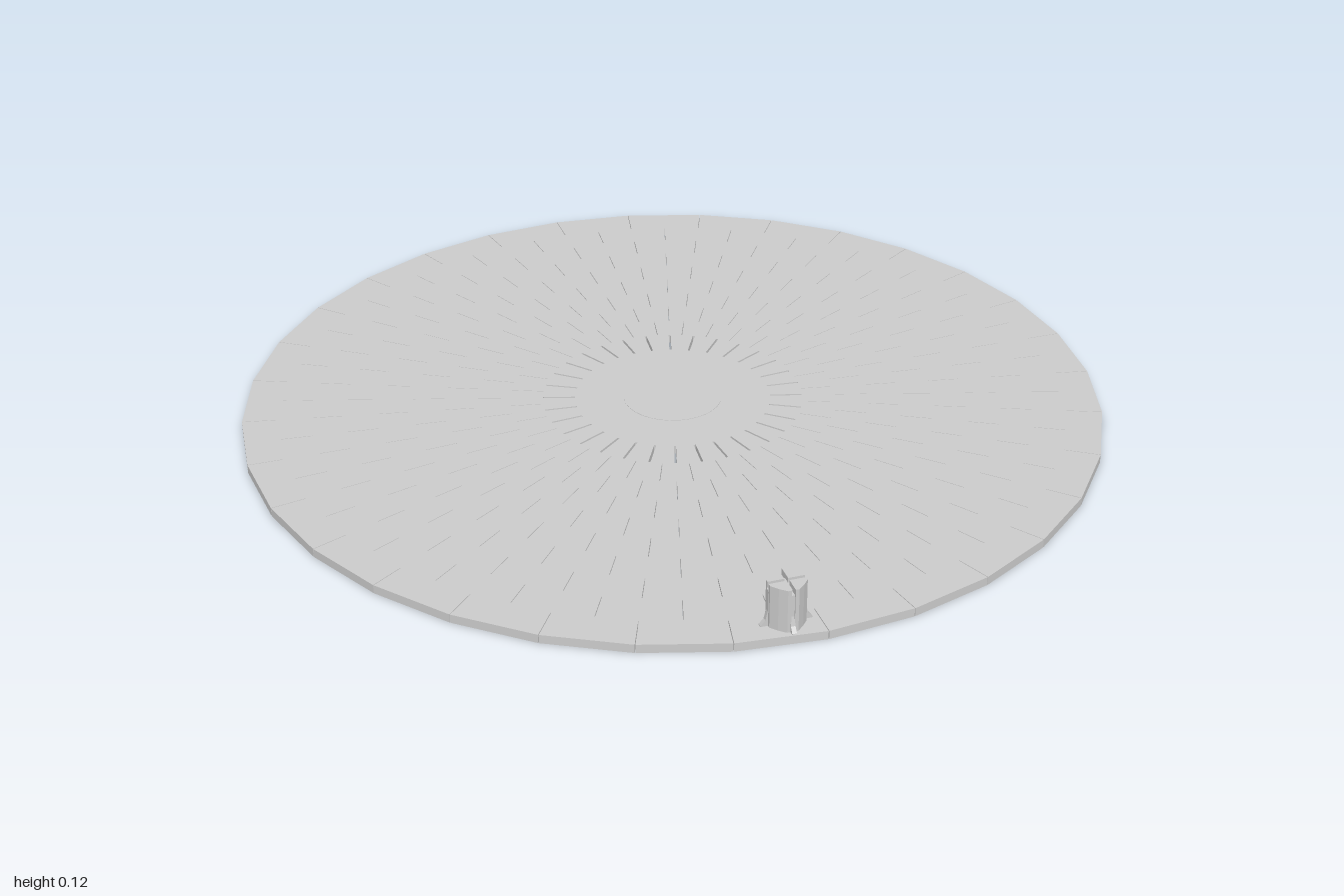
import * as THREE from 'three';
import { mergeGeometries } from 'three/addons/utils/BufferGeometryUtils.js';

const SIDES = 32, THICK = 0.02, PITCH = 0.077;
const STEP = (Math.PI * 2) / SIDES;

const material = new THREE.MeshStandardMaterial({ color: 0xcccccc, flatShading: true });

function addMesh(parent, name, geometry) {
  const mesh = new THREE.Mesh(geometry, material);
  mesh.name = name;
  parent.add(mesh);
  return mesh;
}

// Vertical prism from plan points [x, z], standing between two heights
function prism(points, bottom, top) {
  const shape = new THREE.Shape(points.map(([x, z]) => new THREE.Vector2(x, -z)));
  const geometry = new THREE.ExtrudeGeometry(shape, { depth: top - bottom, bevelEnabled: false });
  return geometry.rotateX(-Math.PI / 2).translate(0, bottom, 0);
}

// One ring of wedge-shaped paving stones with narrow joints
function stoneRing(inner, outer, offset, joint) {
  const stones = [];
  for (let i = 0; i < SIDES; i++) {
    const a = (i + offset) * STEP, b = a + STEP;
    const corner = (r, angle, side) => {
      const t = angle + (side * joint) / (2 * r);
      return [r * Math.cos(t), r * Math.sin(t)];
    };
    stones.push(prism([
      corner(inner, a, 1), corner(outer, a, 1), corner(outer, b, -1), corner(inner, b, -1),
    ], 0, THICK));
  }
  return mergeGeometries(stones);
}

function createFloor() {
  const floor = new THREE.Group();
  floor.name = 'floor';
  for (let k = 0; k < 12; k++) {
    const outer = 1 - k * PITCH;
    const joint = k === 9 ? 0.005 : k > 9 ? 0 : 0.0015;
    addMesh(floor, `stoneRing${k + 1}`,
      stoneRing((outer - PITCH) * 0.994, outer, (k % 2) / 2, joint));
  }
  // Round stone in the middle
  const hub = new THREE.CylinderGeometry(0.115, 0.115, THICK + 0.001, SIDES);
  addMesh(floor, 'centreStone', hub.translate(0, (THICK + 0.001) / 2, 0));
  return floor;
}

function createPillar() {
  const pillar = new THREE.Group();
  pillar.name = 'pillar';
  const top = 0.12;

  // Four faceted quarter posts separated by narrow slots
  const slot = 0.004, reach = 0.04, bend = 0.027;
  const quarter = [[slot, slot], [reach, slot], [reach, 0.012], [bend, bend], [0.012, reach], [slot, reach]];
  for (let i = 0; i < 4; i++) {
    addMesh(pillar, 'quarterPost', prism(quarter, THICK, top)).rotation.y = (i * Math.PI) / 2;
  }

  // Core set back inside the slots
  const core = new THREE.BoxGeometry(0.044, 0.09, 0.044);
  addMesh(pillar, 'core', core.translate(0, 0.064, 0));

  // Buttress fins that flare out at the foot
  const fin = new THREE.Shape();
  fin.moveTo(0.015, 0.015);
  fin.lineTo(0.058, 0.015);
  fin.lineTo(0.056, 0.022);
  fin.lineTo(0.046, 0.034);
  fin.lineTo(0.041, 0.055);
  fin.lineTo(0.041, 0.105);
  fin.lineTo(0.015, 0.105);
  for (let i = 0; i < 4; i++) {
    const geometry = new THREE.ExtrudeGeometry(fin, { depth: 0.01, bevelEnabled: false });
    const mesh = addMesh(pillar, 'buttress', geometry.translate(0, 0, -0.005));
    mesh.rotation.y = (i * Math.PI) / 2;
    if (i % 2) mesh.scale.x = 0.9;
  }

  pillar.position.set(-0.07, 0, 0.94);
  return pillar;
}

export function createModel() {
  const model = new THREE.Group();
  model.name = 'pavedDisc';
  model.add(createFloor(), createPillar());
  return model;
}
